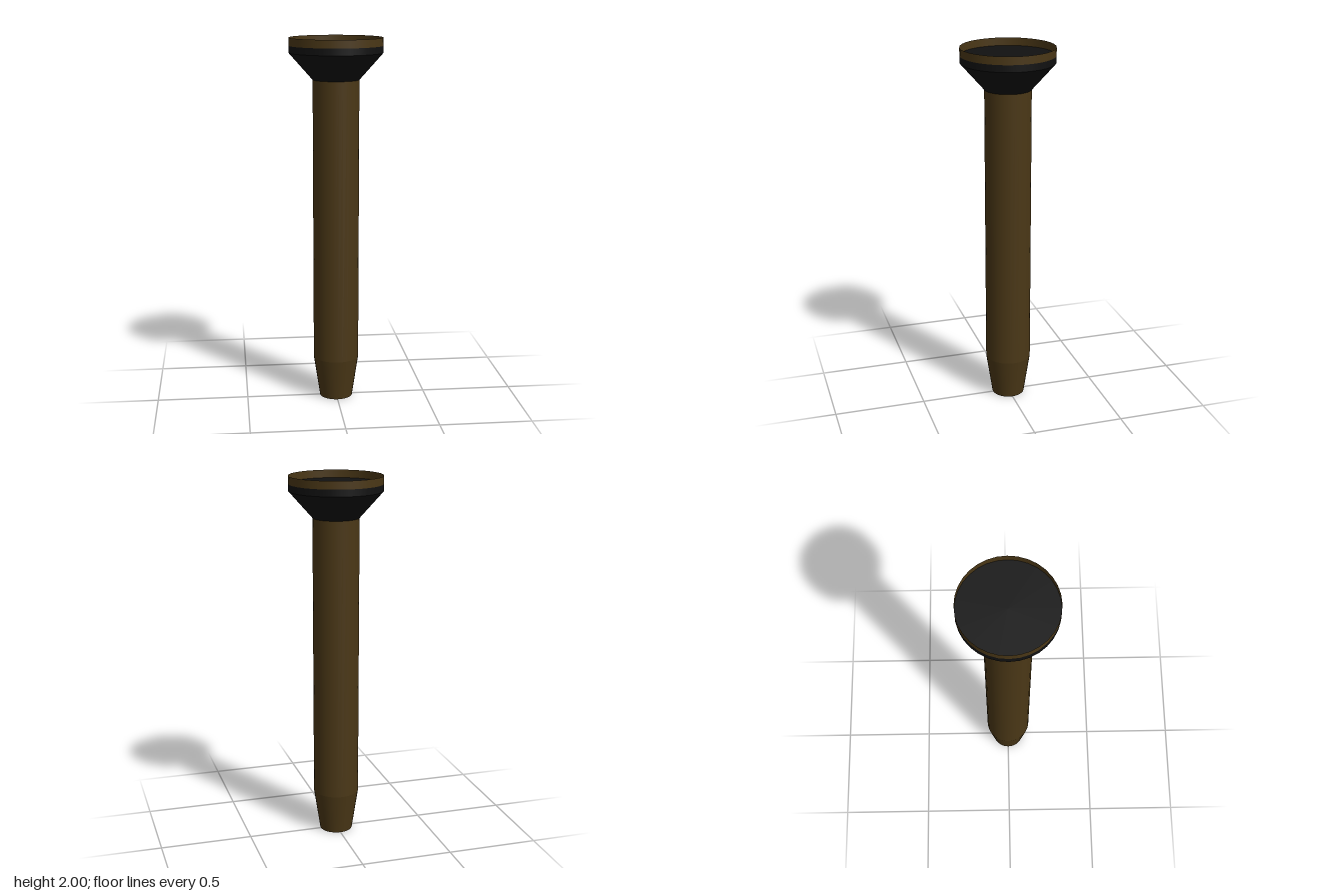
import * as THREE from 'three';

const SIDES = 32;
const bronze = new THREE.MeshStandardMaterial({ color: 0x4a3716, side: THREE.DoubleSide });
const black = new THREE.MeshStandardMaterial({ color: 0x111111 });

// Round section standing between two heights
function section(name, rTop, rBottom, y0, y1, material, open = false) {
  const geometry = new THREE.CylinderGeometry(rTop, rBottom, y1 - y0, SIDES, 1, open);
  const mesh = new THREE.Mesh(geometry, material);
  mesh.name = name;
  mesh.position.y = (y0 + y1) / 2;
  return mesh;
}

// Flat round end; direction is +1 for facing up, -1 for facing down
function disc(name, radius, y, direction, material) {
  const mesh = new THREE.Mesh(new THREE.CircleGeometry(radius, SIDES), material);
  mesh.name = name;
  mesh.rotation.x = -direction * Math.PI / 2;
  mesh.position.y = y;
  return mesh;
}

export function createModel() {
  const group = new THREE.Group();
  group.name = 'pin';

  // Shaft with tapered tip
  group.add(section('taperedTip', 0.125, 0.09, 0, 0.23, bronze, true));
  group.add(disc('tipEnd', 0.09, 0, -1, bronze));
  group.add(section('shaft', 0.125, 0.125, 0.23, 1.777, bronze, true));

  // Flared head and its straight collar
  group.add(section('headFlare', 0.252, 0.125, 1.777, 1.92, black, true));
  group.add(section('headCollar', 0.252, 0.252, 1.92, 1.957, black, true));

  // Raised thin rim around the recessed top face
  group.add(disc('headFace', 0.252, 1.957, 1, black));
  group.add(section('headRim', 0.252, 0.252, 1.957, 2, bronze, true));

  return group;
}
